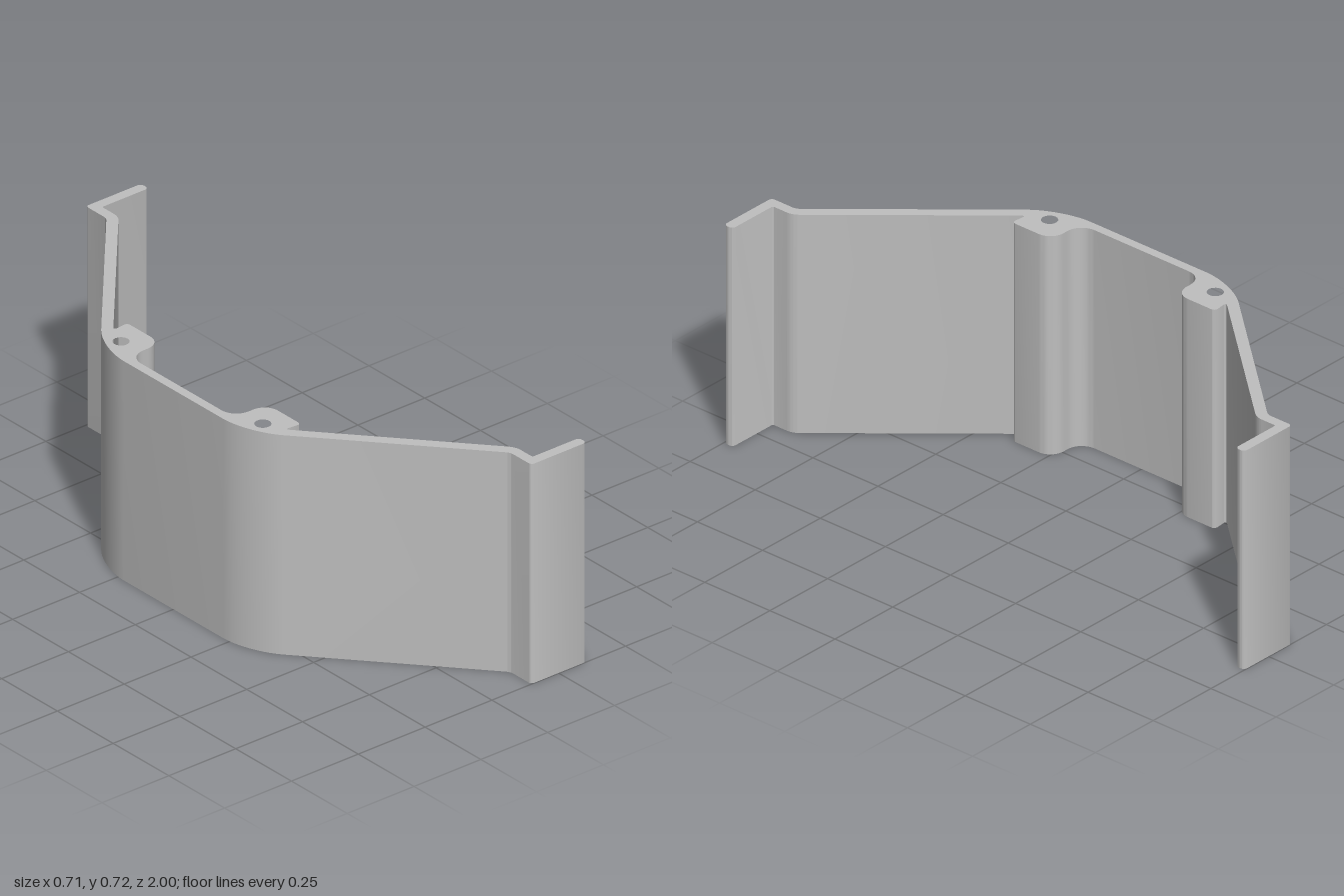
import * as THREE from 'three';
import { toCreasedNormals } from 'three/addons/utils/BufferGeometryUtils.js';

const HEIGHT = 0.72;

// Half of the bracket section: [x, z, length cut off the corner by its fillet]
const HALF = [
  [-0.357, 0.328, 0.105], // bend of the back wall
  [0.148, 0.906, 0.012],  // outer step
  [0.148, 0.999, 0.012],
  [0.355, 0.999, 0.014],  // flange end
  [0.355, 0.965, 0.014],
  [0.181, 0.965, 0.006],
  [0.181, 0.891, 0.02],   // inner step
  [-0.262, 0.384, 0.016], // notch beside the boss
  [-0.205, 0.390, 0.014], // screw boss
  [-0.205, 0.236, 0.05],
  [-0.328, 0.236, 0.055], // fillet into the back wall
];

// Closed outline with every corner rounded
function roundedShape(points) {
  const shape = new THREE.Shape();
  const v = points.map(([x, y]) => new THREE.Vector2(x, y));
  const n = v.length;
  const toward = (a, b, d) => b.clone().sub(a).setLength(d).add(a);
  for (let i = 0; i < n; i++) {
    const cut = points[i][2];
    const p = toward(v[i], v[(i + n - 1) % n], cut);
    const q = toward(v[i], v[(i + 1) % n], cut);
    const c1 = p.clone().lerp(v[i], 0.56), c2 = q.clone().lerp(v[i], 0.56);
    if (i === 0) shape.moveTo(p.x, p.y);
    else shape.lineTo(p.x, p.y);
    shape.bezierCurveTo(c1.x, c1.y, c2.x, c2.y, q.x, q.y);
  }
  shape.closePath();
  return shape;
}

export function createModel() {
  const group = new THREE.Group();
  group.name = 'bracket';
  const grey = new THREE.MeshStandardMaterial({ color: 0xbfbfbf });
  grey.name = 'grey';

  const mirrored = HALF.map(([x, z, cut]) => [x, -z, cut]).reverse();
  const shape = roundedShape([...HALF, ...mirrored]);

  // Screw holes through both bosses
  for (const side of [-1, 1]) {
    const hole = new THREE.Path();
    hole.absarc(-0.288, side * 0.318, 0.025, 0, Math.PI * 2, true);
    shape.holes.push(hole);
  }

  const extruded = new THREE.ExtrudeGeometry(shape, {
    depth: HEIGHT, bevelEnabled: false, curveSegments: 10,
  });
  extruded.rotateX(-Math.PI / 2);
  const body = new THREE.Mesh(toCreasedNormals(extruded, 0.6), grey);
  body.name = 'bracketBody';
  group.add(body);
  return group;
}
